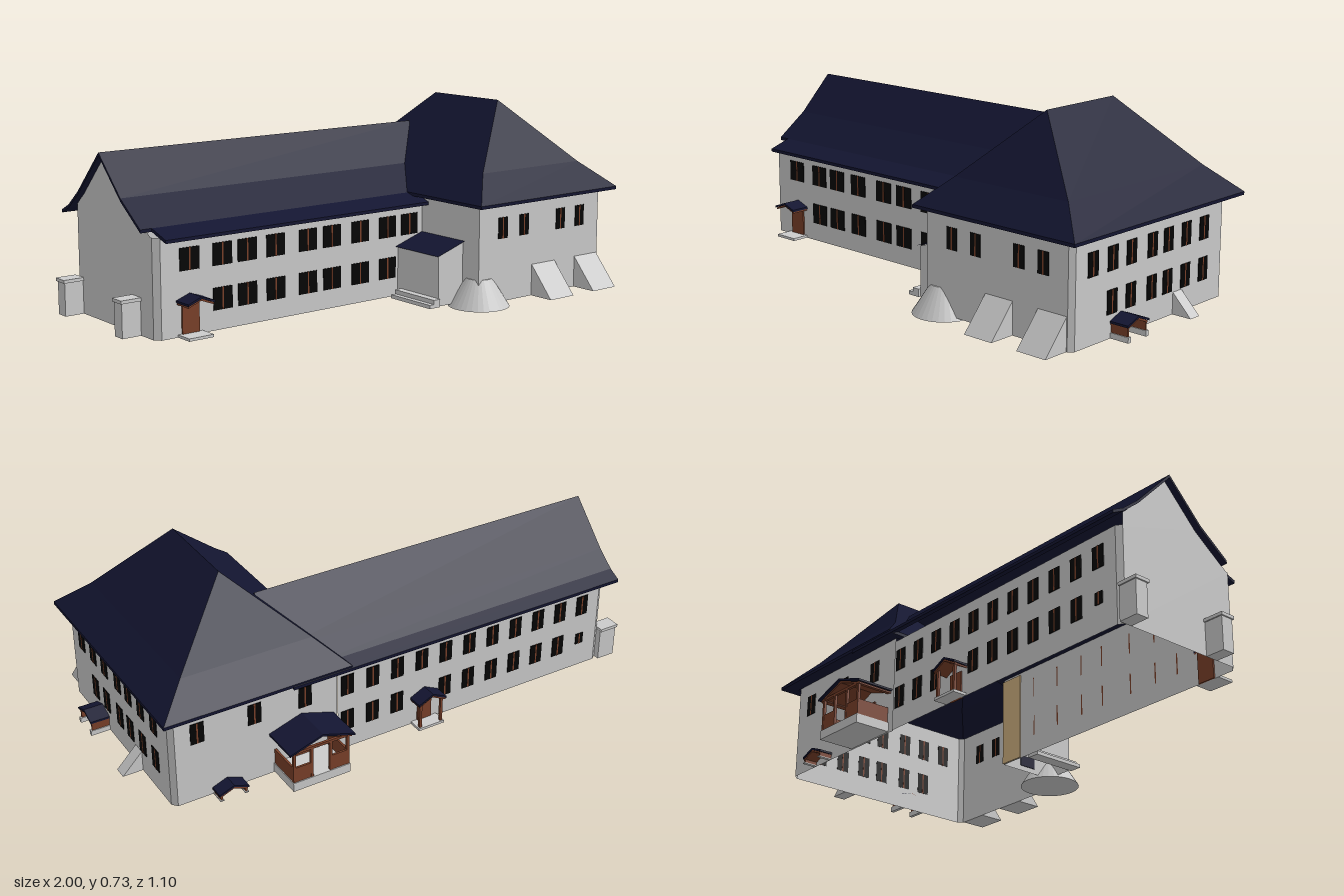
import * as THREE from 'three';

const mat = (color) => new THREE.MeshStandardMaterial({ color, side: THREE.DoubleSide, flatShading: true });
const grey = mat(0xcccccc), navy = mat(0x131531), brown = mat(0x7a4029), black = mat(0x040404), tan = mat(0xd0b080);

function add(parent, name, geometry, material, x = 0, y = 0, z = 0) {
  const m = new THREE.Mesh(geometry, material);
  m.name = name;
  m.position.set(x, y, z);
  parent.add(m);
  return m;
}

// box from its width, height, depth, standing on y
const box = (parent, name, material, w, h, d, x, y, z) =>
  add(parent, name, new THREE.BoxGeometry(w, h, d), material, x, y + h / 2, z);

// quads between successive rings of [x, y, z] corners
function loft(rings, closed = true) {
  const pos = [];
  for (let r = 0; r + 1 < rings.length; r++) {
    const a = rings[r], b = rings[r + 1], n = a.length;
    for (let i = 0; i < (closed ? n : n - 1); i++) {
      const j = (i + 1) % n;
      pos.push(...a[i], ...a[j], ...b[j], ...a[i], ...b[j], ...b[i]);
    }
  }
  const g = new THREE.BufferGeometry();
  g.setAttribute('position', new THREE.Float32BufferAttribute(pos, 3));
  g.computeVertexNormals();
  return g;
}
const ring = (outline, y) => outline.map(([x, z]) => [x, y, z]);
const rect = (x0, x1, z0, z1, y) => ring([[x0, z1], [x1, z1], [x1, z0], [x0, z0]], y);

// slab that follows a [z, y] profile, extruded along x
function profileSlab(profile, x0, x1, t) {
  const top = profile.map(([z, y]) => new THREE.Vector2(-z, y));
  const low = profile.map(([z, y]) => new THREE.Vector2(-z, y - t)).reverse();
  const g = new THREE.ExtrudeGeometry(new THREE.Shape([...top, ...low]), { depth: x1 - x0, bevelEnabled: false });
  return g.rotateY(Math.PI / 2).translate(x0, 0, 0);
}

// group on a wall whose local +z points outward
function onWall(parent, name, x, z, angle) {
  const g = new THREE.Group();
  g.name = name;
  g.position.set(x, 0, z);
  g.rotation.y = angle;
  parent.add(g);
  return g;
}

// dark pane pair with a brown mullion
function addWindow(parent, x, y, z, w, h, angle) {
  const g = onWall(parent, 'window', x, z, angle);
  box(g, 'panes', black, w, h, 0.003, 0, y, 0);
  box(g, 'mullion', brown, 0.006, h, 0.004, 0, y, 0);
}

// gabled canopy with its ridge pointing out from the wall
function canopy(parent, w, d, eave, peak) {
  for (const [name, m, dy, t, k] of [['canopyRoof', navy, 0, 0.008, 1], ['canopyFrame', brown, -0.008, 0.007, 0.94]]) {
    const p = [[-w / 2 * k, eave + dy], [0, peak + dy], [w / 2 * k, eave + dy]];
    add(parent, name, profileSlab(p, 0, d * k, t).rotateY(-Math.PI / 2), m);
  }
}

// sloping cellar hatch against a wall
function hatch(parent, x, z, angle, w, h, d) {
  const s = new THREE.Shape([[0, 0], [d, 0], [0, h]].map((p) => new THREE.Vector2(...p)));
  const g = new THREE.ExtrudeGeometry(s, { depth: w, bevelEnabled: false });
  g.translate(0, 0.01, -w / 2).rotateY(-Math.PI / 2);
  add(onWall(parent, 'cellarHatch', x, z, angle), 'hatch', g, grey);
}

export function createModel() {
  const model = new THREE.Group();
  model.name = 'building';
  const RIGHT = Math.PI / 2, BACK = Math.PI, LEFT = -Math.PI / 2;

  // hollow walls with chamfered corners; the wing opens into the block
  const block = [[0.27, 0.13], [0.27, 0.447], [0.905, 0.447], [0.922, 0.43], [0.922, -0.38], [0.905, -0.4], [0.27, -0.4]];
  add(model, 'blockWalls', loft([ring(block, 0.01), ring(block, 0.39)], false), grey);
  const wing = [[0.27, -0.405], [-0.9, -0.405], [-0.92, -0.39], [-0.92, 0.11], [-0.9, 0.13], [0.27, 0.13]];
  add(model, 'wingWalls', loft([ring(wing, 0.01), ring(wing, 0.365)], false), grey);
  box(model, 'innerPanel', tan, 0.1, 0.34, 0.004, 0.22, 0.012, 0.126);

  // gable wall under the roof
  const gable = [[0.11, 0.36], [0.08, 0.38], [-0.045, 0.47], [-0.186, 0.61], [-0.34, 0.455], [-0.39, 0.41], [-0.39, 0.36]];
  const gableGeo = new THREE.ShapeGeometry(new THREE.Shape(gable.map(([z, y]) => new THREE.Vector2(-z, y))));
  add(model, 'gableWall', gableGeo.rotateY(Math.PI / 2), grey, -0.92);

  // wing roof and its lower front flare
  const back = [[-0.458, 0.384], [-0.41, 0.408], [-0.34, 0.465], [-0.186, 0.622]];
  add(model, 'wingRoof', profileSlab([...back, [-0.045, 0.48], [0.08, 0.39]], -0.945, 0.475, 0.012), navy);
  add(model, 'wingRoofFlare', profileSlab([[0.08, 0.39], [0.167, 0.362]], -0.9, 0.3, 0.012), navy);

  // hipped block roof with flared eaves
  add(model, 'blockRoof', loft([
    rect(0.27, 0.922, -0.4, 0.447, 0.382),
    rect(0.24, 0.963, -0.455, 0.488, 0.38),
    rect(0.24, 0.963, -0.455, 0.488, 0.392),
    rect(0.343, 0.849, -0.355, 0.385, 0.49),
    rect(0.595, 0.595, -0.16, 0.198, 0.73),
  ]), navy);

  // wing front windows
  const wingX = [-0.785, -0.65, -0.545, -0.422, -0.278, -0.168, -0.035, 0.097, 0.205];
  wingX.forEach((x, i) => {
    addWindow(model, x, 0.24, 0.132, 0.08, 0.08, 0);
    if (i > 0 && i < 8) addWindow(model, x, 0.082, 0.132, 0.08, 0.08, 0);
  });
  // block front and right windows
  for (const x of [0.39, 0.5, 0.695, 0.8]) addWindow(model, x, 0.25, 0.448, 0.047, 0.08, 0);
  [0.343, 0.24, 0.14, 0.025, -0.065, -0.168, -0.273].forEach((z, i) => {
    addWindow(model, 0.923, 0.245, z, 0.053, 0.085, RIGHT);
    if (i > 0) addWindow(model, 0.923, 0.095, z, 0.053, 0.085, RIGHT);
  });
  // back windows
  for (let i = 0; i < 11; i++) {
    const x = -0.82 + i * 0.105;
    addWindow(model, x, 0.24, -0.407, 0.052, 0.082, BACK);
    if (i === 0) addWindow(model, x, 0.11, -0.407, 0.035, 0.045, BACK);
    else if (Math.abs(x + 0.1) > 0.07) addWindow(model, x, 0.09, -0.407, 0.052, 0.082, BACK);
  }
  for (const x of [0.4, 0.6, 0.82]) addWindow(model, x, 0.245, -0.401, 0.052, 0.082, BACK);

  // front door with canopy and step
  const entry = onWall(model, 'frontEntry', -0.785, 0.13, 0);
  box(entry, 'door', brown, 0.07, 0.115, 0.012, 0, 0.01, 0);
  box(entry, 'step', grey, 0.1, 0.01, 0.07, 0, 0.01, 0.035);
  canopy(entry, 0.11, 0.075, 0.14, 0.16);

  // low cellar porches on the right and back walls
  for (const [x, z, angle, d, base, peak] of [[0.922, 0.19, RIGHT, 0.075, 0.03, 0.093], [0.715, -0.4, BACK, 0.055, 0.014, 0.06]]) {
    const p = onWall(model, 'cellarPorch', x, z, angle);
    canopy(p, 0.115, d, peak - 0.022, peak);
    for (const s of [-0.048, 0.048]) {
      box(p, 'cheekWall', grey, 0.014, base - 0.01, d, s, 0.01, d / 2);
      box(p, 'sidePanel', brown, 0.007, peak - 0.03 - base, d * 0.92, s, base, d * 0.46);
    }
  }

  // back door porch of the wing
  const door = onWall(model, 'backEntry', -0.1, -0.405, BACK);
  box(door, 'door', brown, 0.06, 0.1, 0.01, 0, 0.01, 0);
  box(door, 'step', grey, 0.11, 0.01, 0.055, 0, 0.01, 0.028);
  canopy(door, 0.12, 0.06, 0.128, 0.157);
  for (const s of [-0.045, 0.045]) box(door, 'post', brown, 0.01, 0.115, 0.01, s, 0.012, 0.045);

  // large back veranda
  const veranda = onWall(model, 'veranda', 0.415, -0.4, BACK);
  box(veranda, 'platform', grey, 0.23, 0.035, 0.142, 0, 0.015, 0.071);
  canopy(veranda, 0.26, 0.15, 0.18, 0.222);
  box(veranda, 'tieBeam', brown, 0.23, 0.01, 0.01, 0, 0.168, 0.134);
  box(veranda, 'door', brown, 0.06, 0.11, 0.01, 0, 0.05, 0.002);
  for (const s of [-1, 1]) {
    box(veranda, 'sidePanel', brown, 0.008, 0.06, 0.13, s * 0.108, 0.05, 0.068);
    box(veranda, 'frontPanel', brown, 0.07, 0.06, 0.008, s * 0.073, 0.05, 0.134);
    for (const x of [0.108, 0.038]) box(veranda, 'post', brown, 0.01, 0.125, 0.01, s * x, 0.05, 0.134);
    box(veranda, 'eaveBeam', brown, 0.01, 0.01, 0.14, s * 0.108, 0.168, 0.07);
  }

  // hatches along the block
  hatch(model, 0.607, 0.447, 0, 0.123, 0.12, 0.104);
  hatch(model, 0.84, 0.447, 0, 0.123, 0.12, 0.104);
  hatch(model, 0.922, -0.125, RIGHT, 0.05, 0.08, 0.078);

  // earth mound at the block corner
  add(model, 'mound', new THREE.CylinderGeometry(0.048, 0.115, 0.105, 32), grey, 0.312, 0.0525, 0.405);

  // lean-to in the inner corner, with steps
  const plan = [[0.15, 0.13], [0.15, 0.36], [0.27, 0.36]];
  const topY = [0.2, 0.2, 0.238];
  add(model, 'leanToWalls', loft([ring(plan, 0.01), plan.map(([x, z], i) => [x, topY[i], z])], false), grey);
  add(model, 'leanToRoof', loft([[[0.138, 0.2, 0.13], [0.138, 0.2, 0.37]], [[0.272, 0.243, 0.13], [0.272, 0.243, 0.37]]], false), navy);
  box(model, 'leanToDoor', navy, 0.006, 0.13, 0.07, 0.27, 0.03, 0.25);
  box(model, 'upperStep', grey, 0.03, 0.03, 0.22, 0.135, 0.01, 0.26);
  box(model, 'lowerStep', grey, 0.05, 0.014, 0.22, 0.125, 0.01, 0.26);

  // capped shafts at the gable end
  for (const z of [-0.39, 0.005]) {
    const shaft = onWall(model, 'gableShaft', -0.92, z, LEFT);
    box(shaft, 'shaft', grey, 0.05, 0.125, 0.075, 0, 0.01, 0.037);
    box(shaft, 'cap', grey, 0.06, 0.012, 0.08, 0, 0.133, 0.04);
  }
  return model;
}
